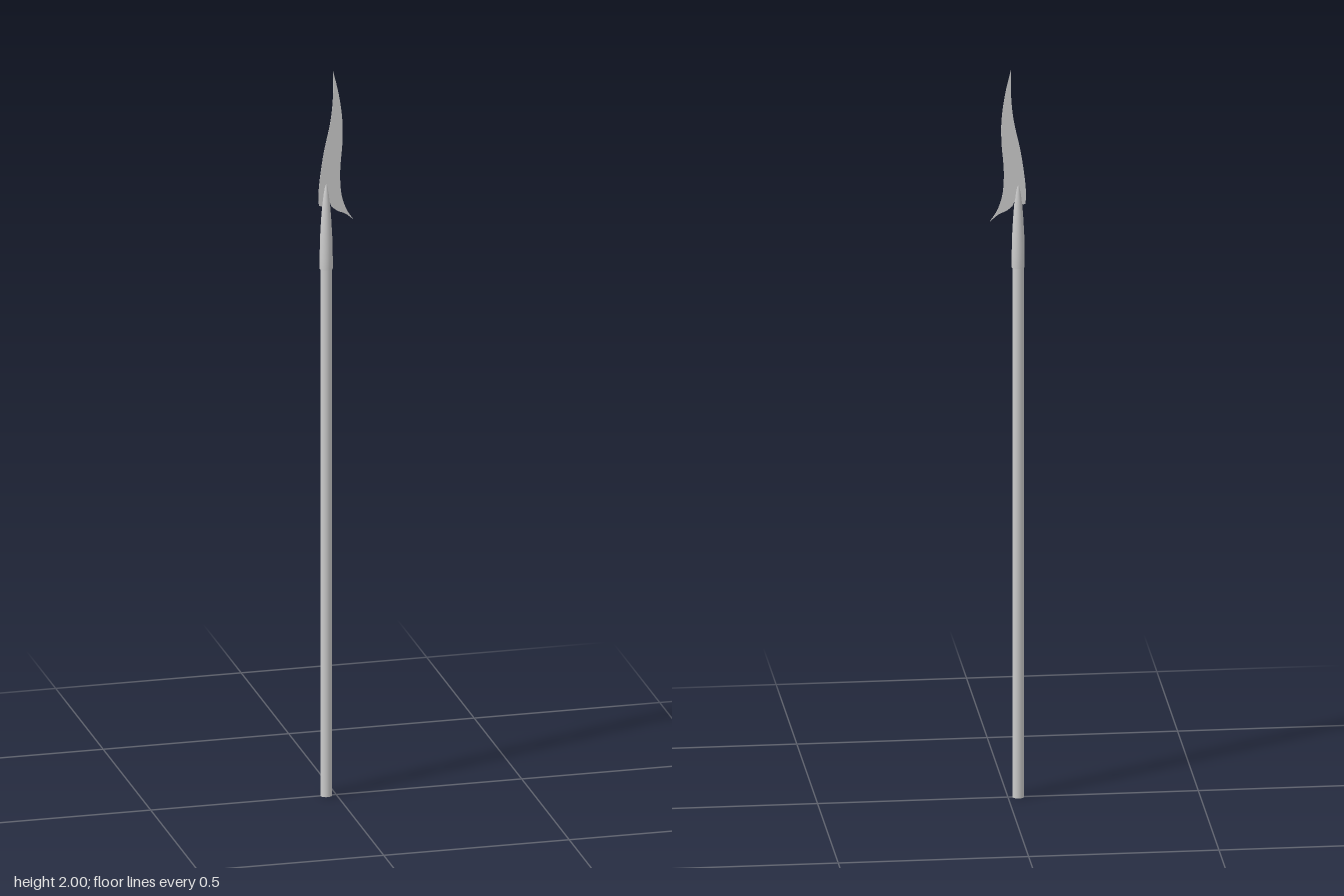
import * as THREE from 'three';

const AXIS_X = -0.027;

export function createModel() {
  const model = new THREE.Group();
  model.name = 'spear';
  const material = new THREE.MeshStandardMaterial({ color: 0xcccccc, side: THREE.DoubleSide });

  function add(name, geometry, x, y, z) {
    const mesh = new THREE.Mesh(geometry, material);
    mesh.name = name;
    mesh.position.set(x, y, z);
    model.add(mesh);
  }

  // Long round shaft, ending inside the socket
  const shaftLength = 1.5;
  add('shaft', new THREE.CylinderGeometry(0.0155, 0.0155, shaftLength, 20), AXIS_X, shaftLength / 2, 0);

  // Socket: sleeve tapering to a point on the blade
  const socketProfile = [
    [0.0155, 1.456], [0.0172, 1.456], [0.0172, 1.49], [0.0162, 1.54], [0.0135, 1.59],
    [0.0105, 1.63], [0.007, 1.66], [0.0035, 1.68], [0, 1.69],
  ].map(([r, y]) => new THREE.Vector2(r, y));
  add('socket', new THREE.LatheGeometry(socketProfile, 20), AXIS_X, 0, 0);

  // Thin, wavy blade with a long barb on one side and a short one on the other
  const outline = new THREE.Shape();
  const curve = (points) => outline.splineThru(points.map(([x, y]) => new THREE.Vector2(x, y)));
  outline.moveTo(-0.008, 2);
  curve([[-0.008, 1.93], [-0.015, 1.86], [-0.033, 1.775], [-0.044, 1.7], [-0.047, 1.66], [-0.046, 1.63]]);
  outline.lineTo(-0.038, 1.628);
  curve([[-0.032, 1.65], [-0.026, 1.656], [-0.02, 1.645], [-0.012, 1.625]]);
  curve([[0.005, 1.612], [0.025, 1.603], [0.047, 1.585]]);
  curve([[0.028, 1.615], [0.015, 1.655], [0.011, 1.7], [0.012, 1.74], [0.017, 1.8],
    [0.017, 1.86], [0.008, 1.93], [-0.008, 2]]);
  const thickness = 0.002;
  add('blade', new THREE.ExtrudeGeometry(outline, {
    depth: thickness, bevelEnabled: false, curveSegments: 6,
  }), 0, 0, -0.002 - thickness / 2);

  return model;
}
